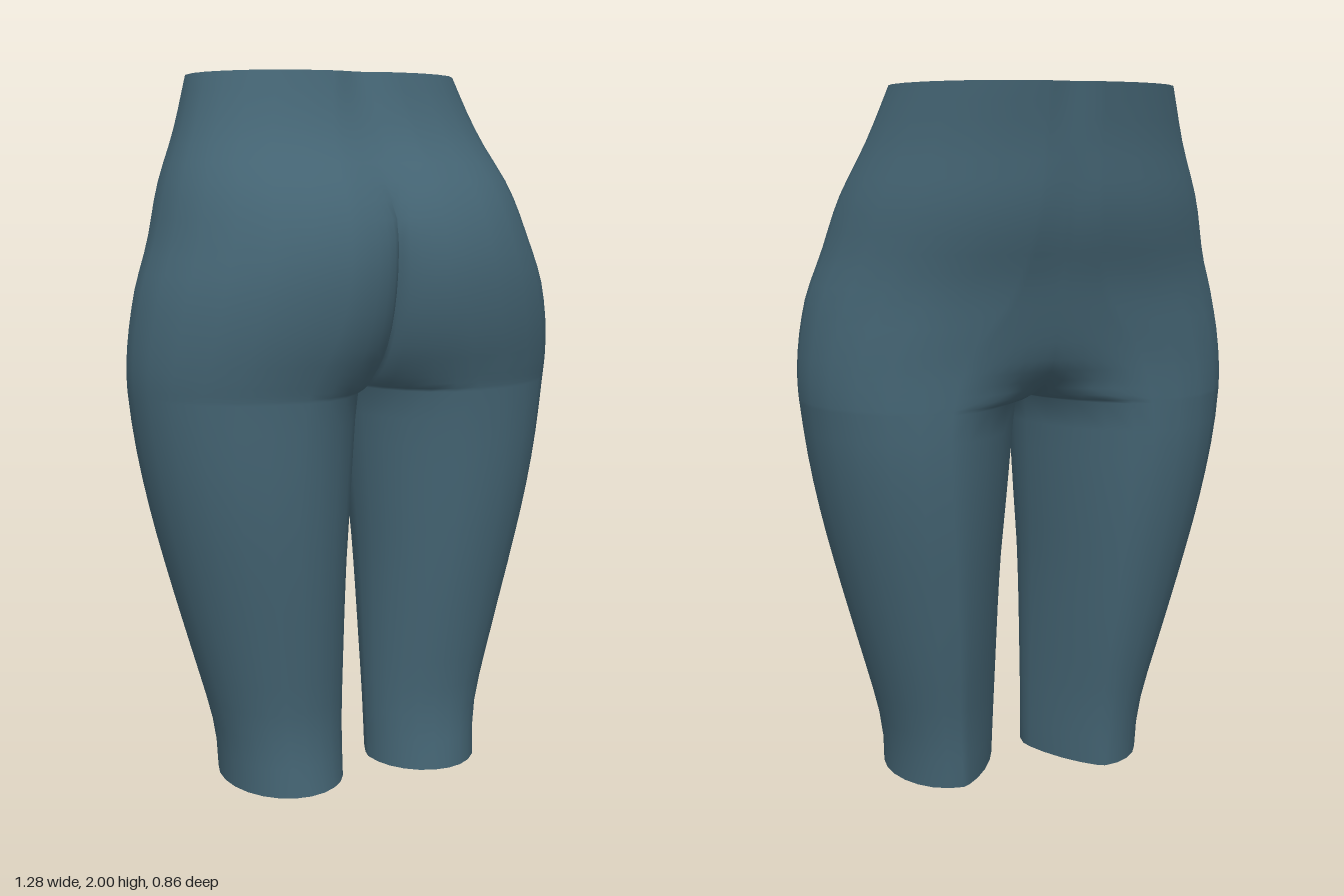
import * as THREE from 'three';
import { mergeVertices } from 'three/addons/utils/BufferGeometryUtils.js';

const { lerp, clamp, smoothstep } = THREE.MathUtils;
const CROTCH = 1.13;
const fabric = new THREE.MeshStandardMaterial({ color: 0x446473, side: THREE.DoubleSide });
fabric.name = 'slate blue fabric';

// Measurements along the height, as [y, value] keys
const outerX = [[0, .395], [.1, .4], [.2, .42], [.4, .475], [.6, .53], [.8, .58], [1, .618], [1.2, .638],
  [1.4, .612], [1.55, .56], [1.7, .515], [1.85, .45], [2, .395]];
const innerX = [[0, .055], [.2, .05], [.6, .04], [.8, .026], [1, .012], [CROTCH, .004]];
const seatZ = [[0, .295], [.17, .276], [.4, .3], [.6, .325], [.8, .345], [1, .357], [1.13, .364], [1.2, .384],
  [1.3, .416], [1.42, .433], [1.52, .428], [1.62, .398], [1.7, .35], [1.8, .268], [1.9, .218], [2, .187]];
const bellyZ = [[0, -.14], [.17, -.155], [.4, -.2], [.6, -.235], [.8, -.265], [1, -.284], [1.25, -.29],
  [1.4, -.315], [1.5, -.34], [1.6, -.375], [1.7, -.397], [1.85, -.407], [2, -.427]];
const sideZ = [[0, .08], [1, .05], [1.4, .05], [1.7, 0], [2, -.09]];
const seatPeakX = [[0, .225], [.5, .255], [.9, .285], [1.15, .26], [1.28, .21], [1.4, .18], [1.7, .15], [2, .1]];
const bellyPeakX = [[0, .225], [.5, .26], [1, .3], [1.15, .29], [1.3, .24], [1.45, .14], [1.7, .09], [2, .08]];
// Centre seam: crotch curve rising to the belly and to the cleft
const seamBelly = [[CROTCH, .06], [1.14, -.06], [1.16, -.15], [1.2, -.225], [1.26, -.272], [1.35, -.3],
  [1.5, -.338], [1.6, -.372], [1.7, -.393], [2, -.417]];
const seamSeat = [[CROTCH, .06], [1.14, .13], [1.17, .2], [1.22, .265], [1.3, .32], [1.42, .357], [1.55, .37],
  [1.63, .362], [1.7, .335], [1.8, .258], [1.9, .207], [2, .165]];

// Smooth interpolation through the keys
function at(keys, y) {
  const n = keys.length;
  let k = 0;
  while (k < n - 2 && y > keys[k + 1][0]) k++;
  const slope = (j) => {
    const a = keys[Math.max(j - 1, 0)], b = keys[Math.min(j + 1, n - 1)];
    return (b[1] - a[1]) / (b[0] - a[0]);
  };
  const [y0, v0] = keys[k], [y1, v1] = keys[k + 1], h = y1 - y0;
  const t = clamp((y - y0) / h, 0, 1), t2 = t * t, t3 = t2 * t;
  return (2 * t3 - 3 * t2 + 1) * v0 + (t3 - 2 * t2 + t) * h * slope(k)
    + (3 * t2 - 2 * t3) * v1 + (t3 - t2) * h * slope(k + 1);
}

// Half section, from the belly seam round the hip to the seat seam
function section(y, inset = 0, drop = 0) {
  const joined = y >= CROTCH, S = 6, pts = [];
  const w = at(outerX, y) - inset, i = joined ? 0 : at(innerX, y) + inset;
  const zs = at(seatZ, y) - inset, zb = at(bellyZ, y) + inset, zm = at(sideZ, y);
  const ps = at(seatPeakX, y), pb = at(bellyPeakX, y);
  const legSeam = lerp(.11, .06, y / CROTCH);
  const cb = joined ? at(seamBelly, y) + inset : legSeam;
  const cs = joined ? at(seamSeat, y) - inset : legSeam;
  // power flattens the arc; soft turns it into a wave that is level at both ends
  const quarter = (px, pz, ex, ez, fromPeak, power = 1, soft = 0) => {
    for (let k = 0; k < S; k++) {
      const t = fromPeak ? k / S : 1 - k / S, a = t * Math.PI / 2;
      const s = lerp(Math.sin(a) ** power, t, soft);
      const c = lerp(Math.max(Math.cos(a), 0) ** power, (1 + Math.cos(2 * a)) / 2, soft);
      pts.push([px + (ex - px) * s, y - drop, ez + (pz - ez) * c]);
    }
  };
  quarter(pb, zb, i, cb, false, lerp(1.5, 1.2, clamp(y / CROTCH, 0, 1)), smoothstep(y, CROTCH, 1.22));
  quarter(pb, zb, w, zm, true);
  quarter(ps, zs, w, zm, false);
  quarter(ps, zs, i, cs, true, 1, smoothstep(y, 1.58, 1.74));
  pts.push([i, y - drop, cs]);
  return pts;
}

// Skin stacked half sections and their mirror image as one smooth surface
function loft(rows) {
  const pos = [], index = [], cols = rows[0].length;
  for (const side of [1, -1]) {
    const base = pos.length / 3;
    rows.forEach((row) => row.forEach(([x, y, z]) => pos.push(x * side, y, z)));
    for (let r = 0; r < rows.length - 1; r++) {
      for (let c = 0; c < cols - 1; c++) {
        const a = base + r * cols + c, b = a + 1, d = a + cols, e = d + 1;
        if (side > 0) index.push(a, d, b, b, d, e);
        else index.push(a, b, d, b, e, d);
      }
    }
  }
  let geo = new THREE.BufferGeometry();
  geo.setAttribute('position', new THREE.Float32BufferAttribute(pos, 3));
  geo.setIndex(index);
  geo = mergeVertices(geo, 1e-5);
  geo.computeVertexNormals();
  return geo;
}

export function createModel() {
  const group = new THREE.Group();
  group.name = 'trousers';
  const add = (name, rows) => {
    const mesh = new THREE.Mesh(loft(rows), fabric);
    mesh.name = name;
    group.add(mesh);
  };

  // Legs up to the crotch, then seat and hips up to the waist
  const heights = [];
  for (let k = 0; k < 14; k++) heights.push(CROTCH * k / 14);
  heights.push(CROTCH, 1.14, 1.155, 1.175, 1.2, 1.23);
  for (let k = 0; k <= 15; k++) heights.push(1.265 + (2 - 1.265) * k / 15);
  add('legsAndSeat', heights.map((y) => section(y)));

  // Thin turned-in hems at the waist and ankles
  add('waistHem', [section(2), section(2, .018, .006), section(2, .02, .03)]);
  add('ankleHems', [section(0, .014, -.02), section(0, .012, -.004), section(0)]);
  return group;
}
